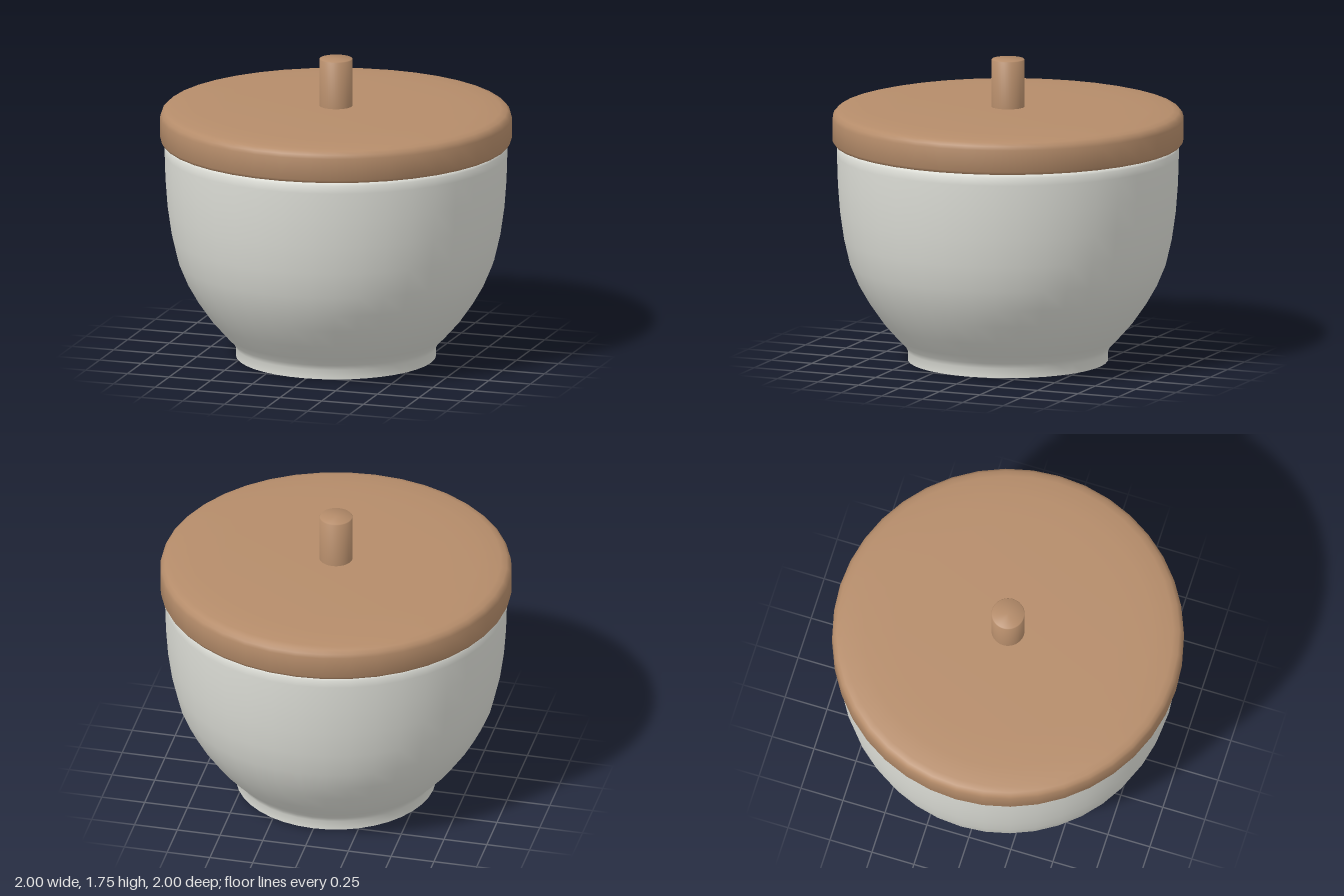
import * as THREE from 'three';
import { toCreasedNormals } from 'three/addons/utils/BufferGeometryUtils.js';

const SIDES = 40;

// Turned part from an outside profile of [radius, height], listed bottom to top
function turned(name, profile, material) {
  const points = profile.map(([r, y]) => new THREE.Vector2(r, y));
  const geometry = toCreasedNormals(new THREE.LatheGeometry(points, SIDES), 0.9);
  const mesh = new THREE.Mesh(geometry, material);
  mesh.name = name;
  return mesh;
}

export function createModel() {
  const ceramic = new THREE.MeshStandardMaterial({ color: 0xdcddd6 });
  ceramic.name = 'pale ceramic';
  const wood = new THREE.MeshStandardMaterial({ color: 0xb58c6a });
  wood.name = 'light wood';

  const group = new THREE.Group();
  group.name = 'liddedBowl';

  // Bowl: foot ring, rounded belly, rim and hollow inside
  group.add(turned('bowl', [
    [0, 0], [0.44, 0.002], [0.57, 0.01], [0.57, 0.065], [0.585, 0.095],
    [0.63, 0.14], [0.71, 0.23], [0.79, 0.345], [0.85, 0.45], [0.9, 0.57],
    [0.935, 0.72], [0.958, 0.88], [0.97, 1.04], [0.975, 1.2], [0.974, 1.245],
    [0.965, 1.259], [0.945, 1.265], [0.9, 1.265], [0.89, 1.2], [0.87, 0.85],
    [0.78, 0.5], [0.6, 0.25], [0.4, 0.13], [0, 0.1],
  ], ceramic));

  // Lid: flat underside, upright edge, rounded shoulder, slightly domed top
  group.add(turned('lid', [
    [0, 1.265], [0.97, 1.265], [0.99, 1.268], [1, 1.285], [1, 1.41],
    [0.993, 1.432], [0.975, 1.449], [0.94, 1.458], [0.82, 1.469],
    [0.64, 1.475], [0, 1.475],
  ], wood));

  // Knob: plain peg with a small bevel
  group.add(turned('knob', [
    [0.095, 1.46], [0.095, 1.746], [0.091, 1.75], [0, 1.75],
  ], wood));

  return group;
}
